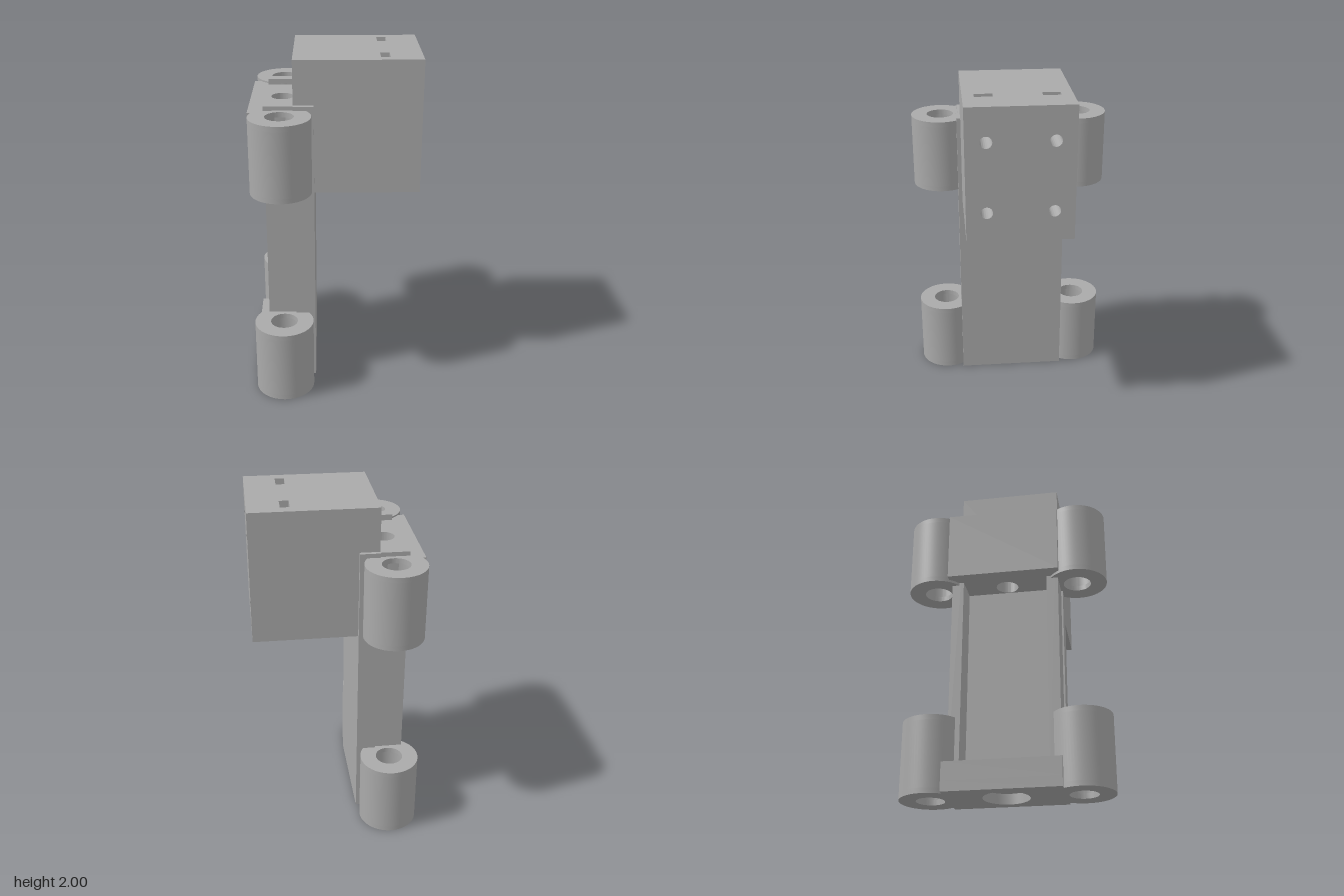
import * as THREE from 'three';
import { toCreasedNormals } from 'three/addons/utils/BufferGeometryUtils.js';

const grey = new THREE.MeshStandardMaterial({ color: 0xaaaaaa });
grey.name = 'light grey plastic';

const polygon = (pts) => new THREE.Shape(pts.map(([a, b]) => new THREE.Vector2(a, b)));
const rect = (a0, a1, b0, b1) => polygon([[a0, b0], [a1, b0], [a1, b1], [a0, b1]]);

function disc(a, b, r) {
  const s = new THREE.Shape();
  s.absarc(a, b, r, 0, Math.PI * 2, false);
  return s;
}

function cut(shape, ...circles) {
  for (const [a, b, r] of circles) {
    const h = new THREE.Path();
    h.absarc(a, b, r, 0, Math.PI * 2, true);
    shape.holes.push(h);
  }
  return shape;
}

function extrude(shape, depth) {
  const g = new THREE.ExtrudeGeometry(shape, { depth, bevelEnabled: false, curveSegments: 32 });
  return toCreasedNormals(g, 0.6);
}

export function createModel() {
  const model = new THREE.Group();
  model.name = 'linearCarriage';

  const add = (name, geometry) => {
    const mesh = new THREE.Mesh(geometry, grey);
    mesh.name = name;
    model.add(mesh);
  };
  // Plan outline (x, -z) raised from y0 to y1
  const raise = (name, shape, y0, y1) =>
    add(name, extrude(shape, y1 - y0).rotateX(-Math.PI / 2).translate(0, y0, 0));
  // Side outline (-z, y) swept from x0 to x1
  const sweep = (name, shape, x0, x1) =>
    add(name, extrude(shape, x1 - x0).rotateY(Math.PI / 2).translate(x0, 0, 0));

  const axisX = -0.305; // shared line of all vertical bores
  const backX = -0.488;
  const plateX = -0.235;
  const frontX = -0.12;
  const halfW = 0.325;
  const recess = 0.06;

  // Foot with the wide recess underneath and the narrower bore above it
  raise('footRecess', cut(rect(backX, frontX, -halfW, halfW), [axisX, 0, 0.13]), 0, recess);
  raise('footBlock', cut(rect(backX, plateX, -halfW, halfW), [axisX, 0, 0.065]), recess, 0.165);

  // Upper block
  raise('upperBlock', cut(rect(backX, plateX, -halfW, halfW), [axisX, 0, 0.065]), 1.295, 1.71);

  // Upright plate and the two ribs forming a channel behind it
  raise('uprightPlate', rect(plateX, frontX, -halfW, halfW), recess, 1.745);
  for (const s of [-1, 1]) {
    const rib = new THREE.BoxGeometry(0.165, 1.745 - recess, 0.068);
    add('sideRib', rib.translate(-0.3175, (1.745 + recess) / 2, s * 0.281));
  }

  // Bearing sleeves: narrow lips at both ends, wider cavity between
  for (const s of [-1, 1]) {
    for (const [y0, y1] of [[0, 0.443], [1.28, 1.72]]) {
      const ring = (r) => cut(disc(axisX, s * 0.42, 0.174), [axisX, s * 0.42, r]);
      raise('sleeveLowerLip', ring(0.08), y0, y0 + 0.03);
      raise('sleeveBody', ring(0.1), y0 + 0.03, y1 - 0.03);
      raise('sleeveUpperLip', ring(0.08), y1 - 0.03, y1);
    }
  }

  // Mounting block: solid core, layer with nut slots, face with screw holes
  const w = 0.302, b = 1.225, t = 2;
  const slotIn = 0.135, slotOut = 0.237, lowEnd = 1.45, highEnd = 1.755;
  sweep('mountCore', rect(-w, w, b, t), plateX, 0.25);
  sweep('mountSlotLayer', polygon([
    [-w, b], [-slotOut, b], [-slotOut, lowEnd], [-slotIn, lowEnd], [-slotIn, b],
    [slotIn, b], [slotIn, lowEnd], [slotOut, lowEnd], [slotOut, b], [w, b],
    [w, t], [slotOut, t], [slotOut, highEnd], [slotIn, highEnd], [slotIn, t],
    [-slotIn, t], [-slotIn, highEnd], [-slotOut, highEnd], [-slotOut, t], [-w, t],
  ]), 0.25, 0.304);
  const screws = [];
  for (const z of [-0.187, 0.187]) for (const y of [1.4, 1.805]) screws.push([z, y, 0.034]);
  sweep('mountFace', cut(rect(-w, w, b, t), ...screws), 0.304, 0.486);

  return model;
}
